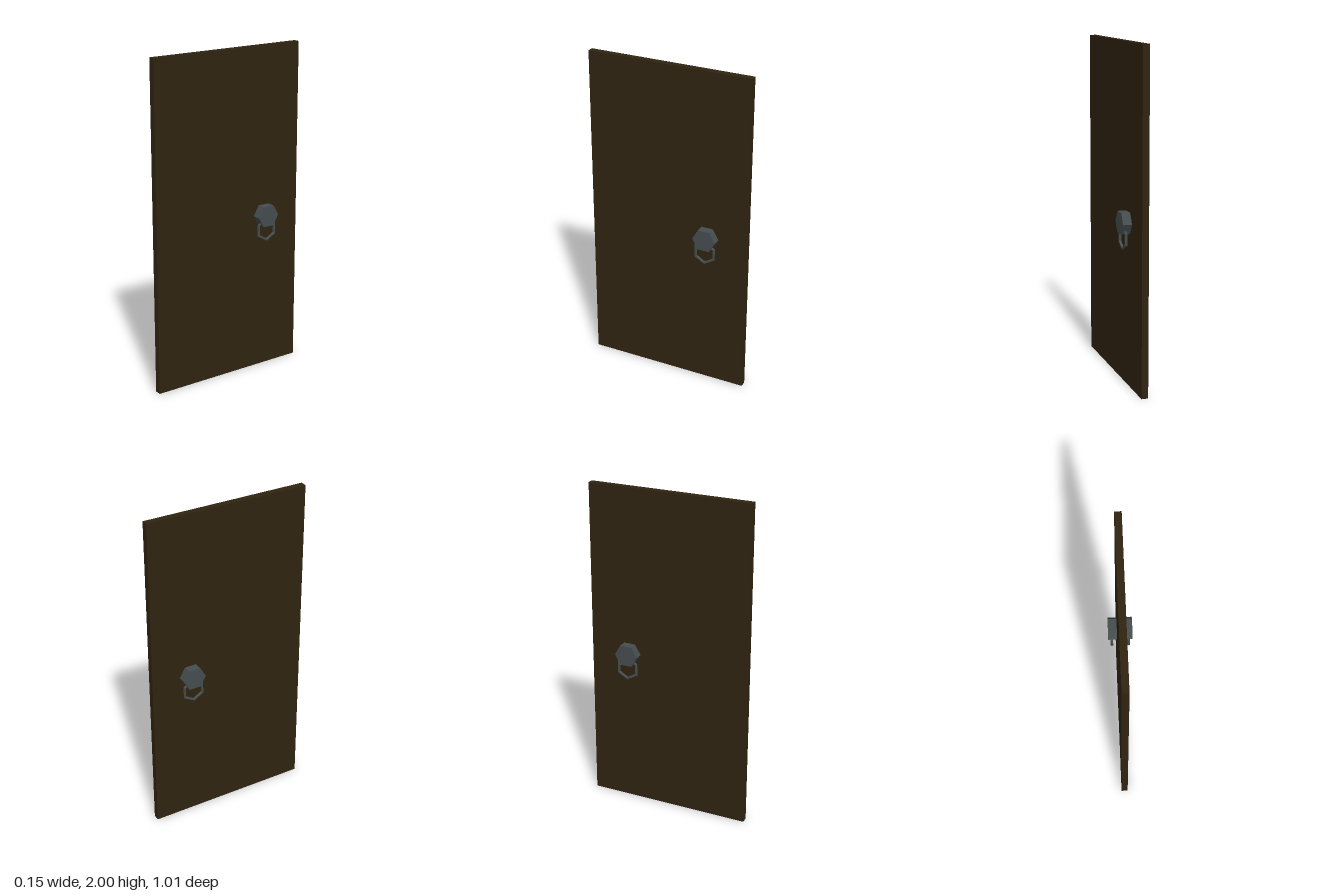
import * as THREE from 'three';

export function createModel() {
  const group = new THREE.Group();
  const wood = new THREE.MeshStandardMaterial({ name: 'dark wood', color: 0x302411, flatShading: true });
  const iron = new THREE.MeshStandardMaterial({ name: 'dark iron', color: 0x454d4e, flatShading: true });

  const add = (name, geometry, material, x, y, z) => {
    const mesh = new THREE.Mesh(geometry, material);
    mesh.name = name;
    mesh.position.set(x, y, z);
    group.add(mesh);
  };

  // Door slab
  add('doorPanel', new THREE.BoxGeometry(0.04, 2, 1.01), wood, 0, 1, 0);

  // Hexagonal handle block passing through the door
  const block = new THREE.CylinderGeometry(0.072, 0.072, 0.146, 6).rotateZ(Math.PI / 2);
  add('handleBlock', block, iron, 0, 0.977, -0.255);

  // Six-sided pull rings hanging on both faces, one corner pointing down
  const ring = new THREE.TorusGeometry(0.066, 0.009, 6, 6).rotateZ(Math.PI / 2).rotateY(Math.PI / 2);
  for (const side of [1, -1]) {
    add(side > 0 ? 'leftPullRing' : 'rightPullRing', ring, iron, side * 0.051, 0.89, -0.255);
  }

  return group;
}
